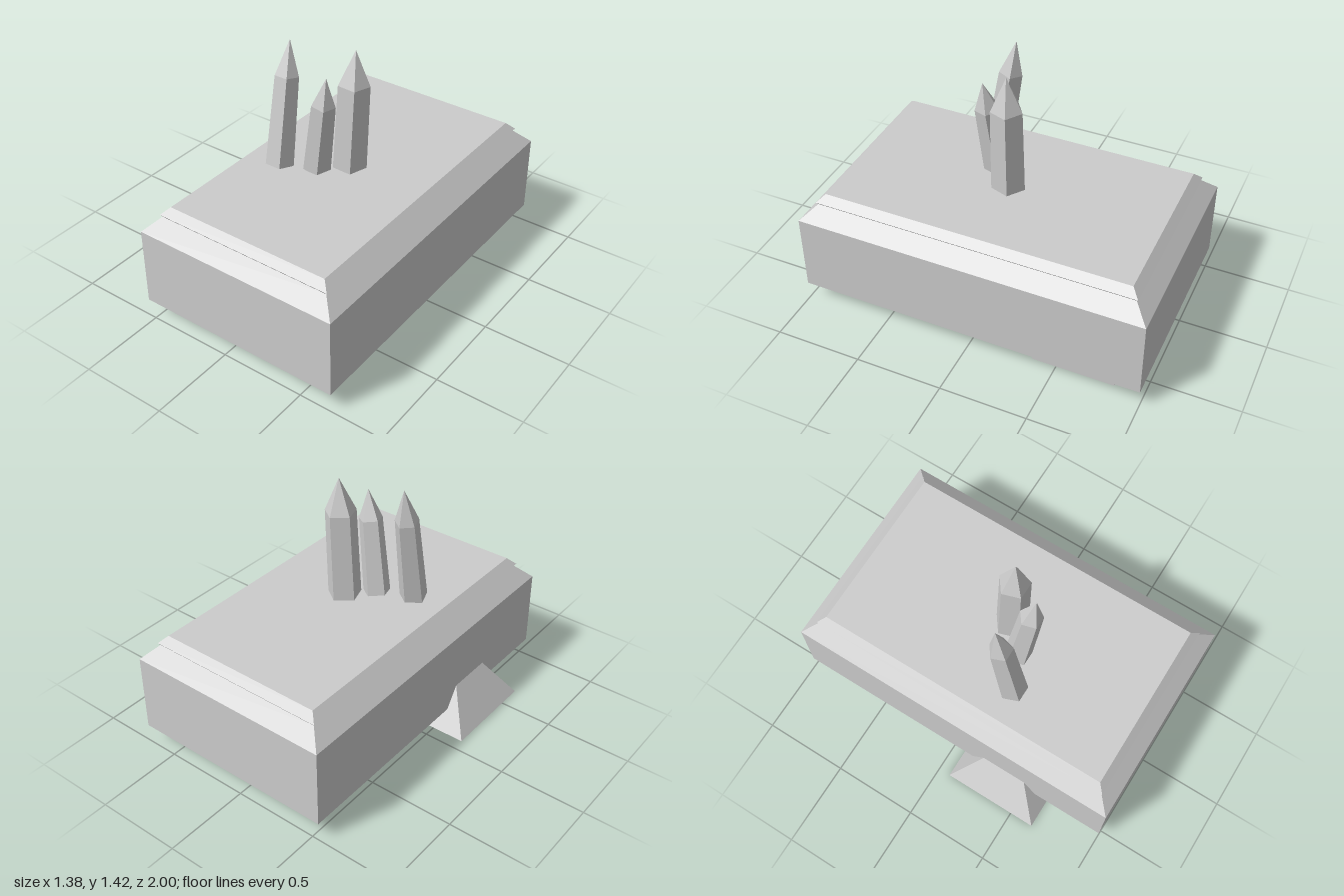
import * as THREE from 'three';

const material = new THREE.MeshStandardMaterial({ color: 0xcccccc, flatShading: true });

function addMesh(group, name, geometry, x = 0, y = 0, z = 0) {
  const mesh = new THREE.Mesh(geometry, material);
  mesh.name = name;
  mesh.position.set(x, y, z);
  group.add(mesh);
  return mesh;
}

// Closed block from stacked rectangles [y, half width, half depth], bottom to top
function loftRectangles(rings) {
  const positions = [], indices = [];
  for (const [y, w, d] of rings) positions.push(-w, y, d, w, y, d, w, y, -d, -w, y, -d);
  for (let r = 0; r < rings.length - 1; r++) {
    for (let i = 0; i < 4; i++) {
      const a = r * 4 + i, b = r * 4 + (i + 1) % 4;
      indices.push(a, b, b + 4, a, b + 4, a + 4);
    }
  }
  const t = (rings.length - 1) * 4;
  indices.push(0, 2, 1, 0, 3, 2, t, t + 1, t + 2, t, t + 2, t + 3);
  const geometry = new THREE.BufferGeometry();
  geometry.setAttribute('position', new THREE.Float32BufferAttribute(positions, 3));
  geometry.setIndex(indices);
  const flat = geometry.toNonIndexed();
  flat.computeVertexNormals();
  return flat;
}

// Five-sided crystal with a pointed tip, leaning from its base centre to its apex
function addCrystal(group, name, base, apex, baseRadius, shoulderRadius, shoulder) {
  const from = new THREE.Vector3(...base);
  const axis = new THREE.Vector3(...apex).sub(from);
  const height = axis.length();
  const profile = [[0, 0], [baseRadius, 0], [shoulderRadius, height * shoulder], [0, height]]
    .map(([r, y]) => new THREE.Vector2(r, y));
  const geometry = new THREE.LatheGeometry(profile, 5, Math.PI).toNonIndexed();
  geometry.computeVertexNormals();
  const mesh = addMesh(group, name, geometry, ...base);
  mesh.quaternion.setFromUnitVectors(new THREE.Vector3(0, 1, 0), axis.normalize());
}

export function createModel() {
  const model = new THREE.Group();
  model.name = 'crystalRock';

  // Bevelled main block and the thin lid on top of it
  addMesh(model, 'body', loftRectangles([
    [0, 0.515, 0.89], [0.11, 0.615, 1], [0.57, 0.615, 1], [0.655, 0.53, 0.915],
  ]), 0.075);
  addMesh(model, 'lid', loftRectangles([
    [0.654, 0.53, 0.915], [0.667, 0.54, 0.925], [0.71, 0.497, 0.883],
  ]), 0.075);

  // Pyramid half buried in the side
  const pyramid = new THREE.ConeGeometry(0.285 * Math.SQRT2, 0.44, 4, 1, false, Math.PI / 4);
  addMesh(model, 'sidePyramid', pyramid, -0.405, 0.22, 0.357);

  // Small bevelled block just breaking through the lower edge
  addMesh(model, 'edgeBlock', loftRectangles([
    [0, 0.18, 0.18], [0.055, 0.235, 0.235], [0.073, 0.235, 0.235],
  ]), 0.418, 0, -0.615);

  // Crystal cluster
  addCrystal(model, 'leftCrystal', [-0.225, 0.712, 0.222], [-0.225, 1.425, 0.107], 0.081, 0.068, 0.72);
  addCrystal(model, 'middleCrystal', [-0.035, 0.712, 0.135], [0.06, 1.31, 0.175], 0.079, 0.068, 0.72);
  addCrystal(model, 'rightCrystal', [0.095, 0.71, 0.01], [0.127, 1.425, 0.007], 0.097, 0.09, 0.72);

  return model;
}
